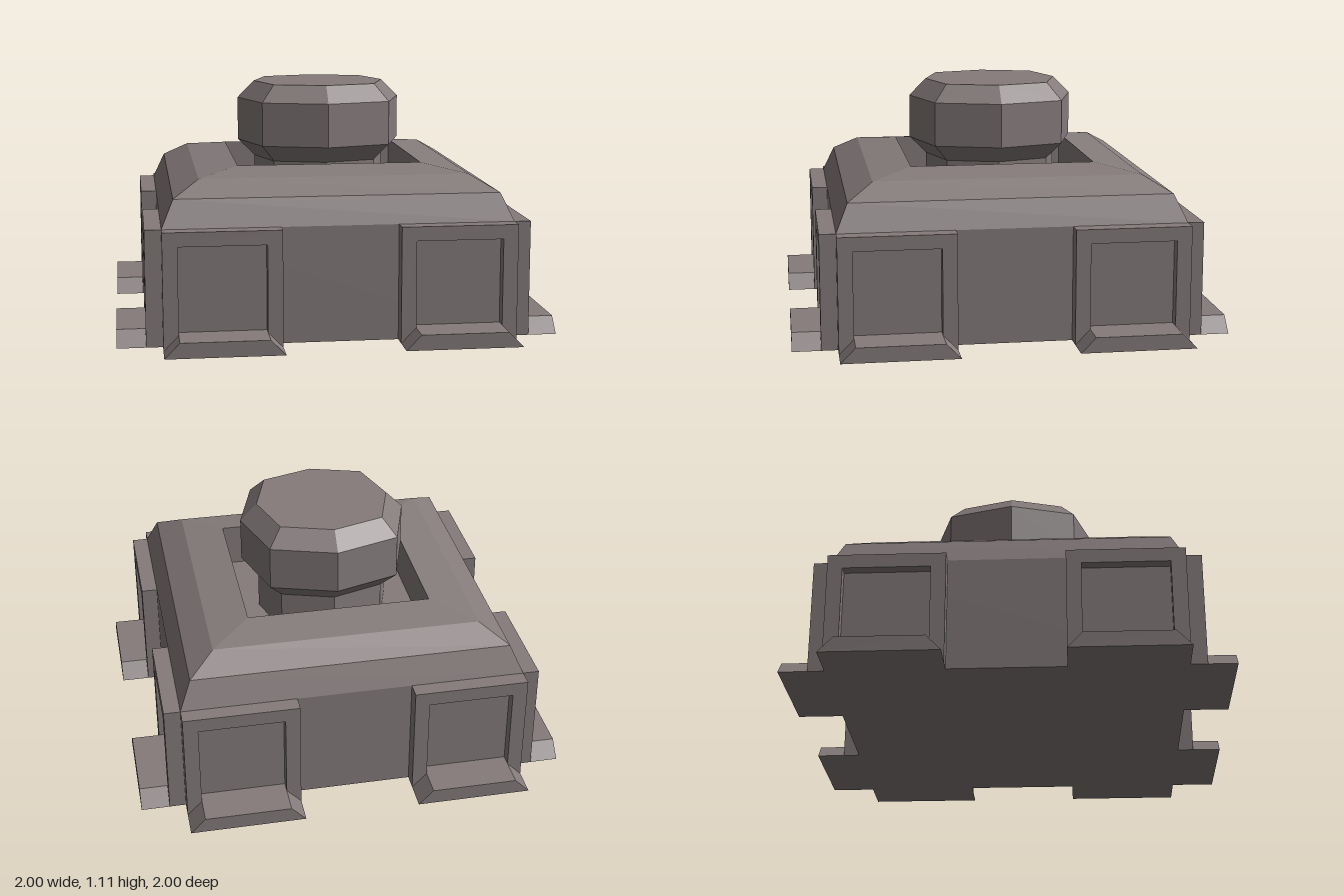
import * as THREE from 'three';

const material = new THREE.MeshStandardMaterial({ color: 0x857b7b, flatShading: true });

function addMesh(parent, name, geometry) {
  const mesh = new THREE.Mesh(geometry, material);
  mesh.name = name;
  parent.add(mesh);
  return mesh;
}

const points = (list) => list.map(([x, y]) => new THREE.Vector2(x, y));

// Square-plan solid: profile gives [half width, height]
function squareLathe(profile) {
  const scaled = profile.map(([w, y]) => [w * Math.SQRT2, y]);
  return new THREE.LatheGeometry(points(scaled), 4, Math.PI / 4);
}

// Octagonal solid with its diagonal corners pushed slightly outwards
function octagonLathe(profile) {
  const geometry = new THREE.LatheGeometry(points(profile), 8);
  const p = geometry.attributes.position;
  for (let i = 0; i < p.count; i++) {
    const x = p.getX(i), z = p.getZ(i);
    if (Math.abs(x) > 0.01 && Math.abs(z) > 0.01) p.setXYZ(i, x * 1.08, p.getY(i), z * 1.08);
  }
  geometry.computeVertexNormals();
  return geometry;
}

function extrude(shape, z0, z1) {
  return new THREE.ExtrudeGeometry(shape, { depth: z1 - z0, bevelEnabled: false }).translate(0, 0, z0);
}

// Wall buttress facing +z: recessed frame, back panel and chamfered foot
function createButtress() {
  const buttress = new THREE.Group();
  buttress.name = 'buttress';

  const frame = new THREE.Shape(points([[-0.265, 0], [0.265, 0], [0.265, 0.53], [-0.265, 0.53]]));
  frame.holes.push(new THREE.Path(points([[-0.197, 0.07], [-0.197, 0.465], [0.197, 0.465], [0.197, 0.07]])));
  addMesh(buttress, 'buttressFrame', extrude(frame, 0.79, 0.87));

  addMesh(buttress, 'recessPanel', new THREE.BoxGeometry(0.4, 0.4, 0.03).translate(0, 0.267, 0.802));

  const foot = new THREE.Shape(points([[-0.265, 0], [0.265, 0], [0.197, 0.07], [-0.197, 0.07]]));
  addMesh(buttress, 'buttressFoot', extrude(foot, 0.79, 1));
  return buttress;
}

export function createModel() {
  const model = new THREE.Group();
  model.name = 'turretBuilding';

  // Body with a stepped roof and a square well in its top
  addMesh(model, 'body', squareLathe([
    [0, 0], [0.795, 0], [0.795, 0.53], [0.74, 0.655], [0.62, 0.725],
    [0.43, 0.755], [0.43, 0.55], [0, 0.55],
  ]));

  // Neck standing in the well and chamfered head
  addMesh(model, 'neck', octagonLathe([[0.315, 0.54], [0.315, 0.75]]));
  addMesh(model, 'head', octagonLathe([
    [0, 0.745], [0.315, 0.745], [0.395, 0.825], [0.395, 1.03], [0.315, 1.11], [0, 1.11],
  ]));

  // Two buttresses on each of the four walls
  for (let side = 0; side < 4; side++) {
    const wall = new THREE.Group();
    wall.name = 'wallButtresses';
    wall.rotation.y = side * Math.PI / 2;
    for (const x of [-0.53, 0.53]) {
      const buttress = createButtress();
      buttress.position.x = x;
      wall.add(buttress);
    }
    model.add(wall);
  }
  return model;
}
